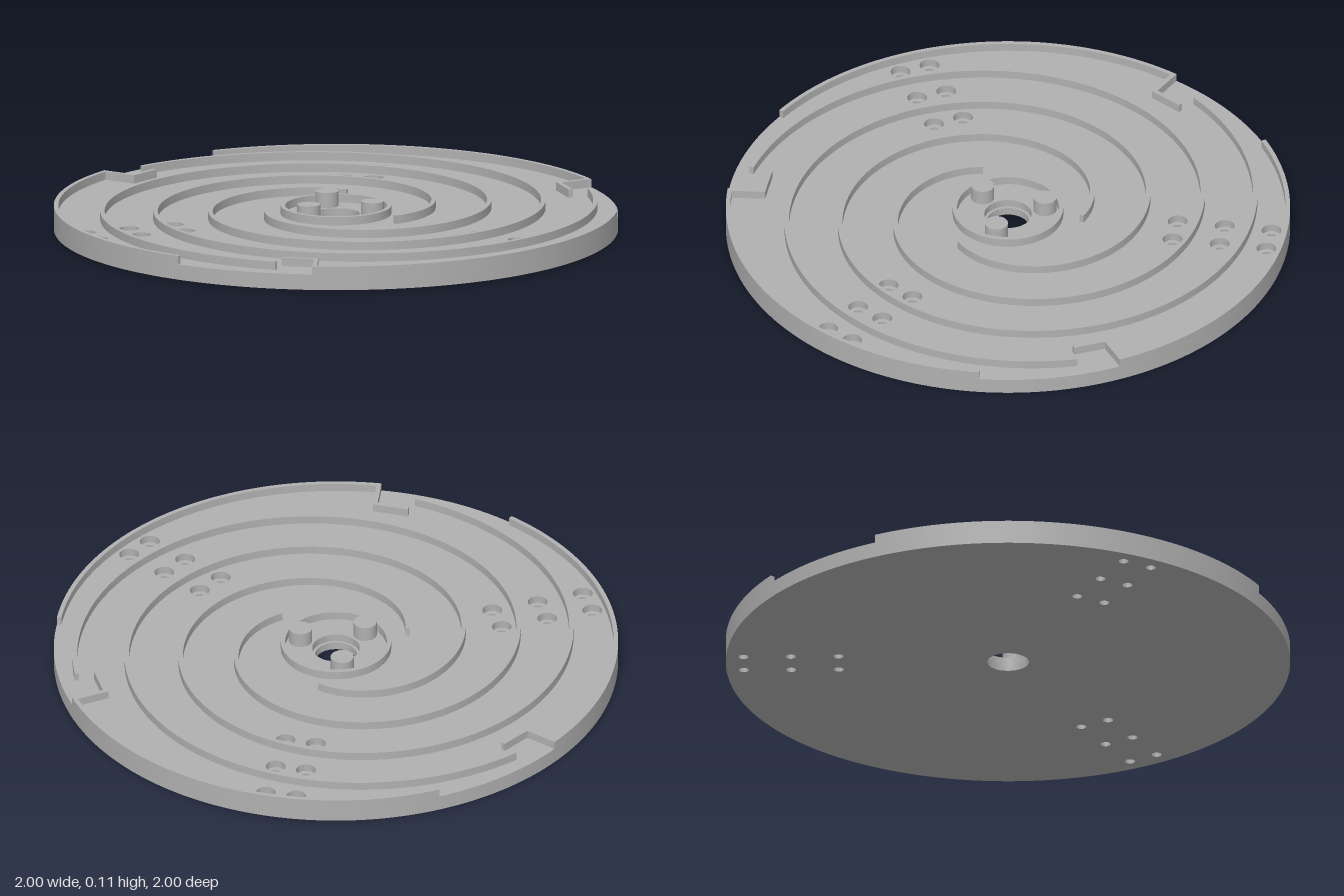
import * as THREE from 'three';
import { toCreasedNormals } from 'three/addons/utils/BufferGeometryUtils.js';

const FLOOR = 0.056, WALL_TOP = 0.086, STEP = 0.028, PEG_TOP = 0.11;
const WALL = 0.016;
const rad = THREE.MathUtils.degToRad;

// Plan coordinates: x is x, y is z; angles run from +x towards +z
const polar = (r, deg) => new THREE.Vector2(r * Math.cos(rad(deg)), r * Math.sin(rad(deg)));

function circle(c, r, n) {
  const pts = [];
  for (let i = 0; i < n; i++) pts.push(polar(r, (i * 360) / n).add(c));
  return pts;
}

// Extrude a plan outline between two heights
function slab(outline, y0, y1, holes = []) {
  const shape = new THREE.Shape(outline);
  shape.holes = holes.map((h) => new THREE.Path(h));
  const g = new THREE.ExtrudeGeometry(shape, { depth: y1 - y0, bevelEnabled: false });
  g.rotateX(Math.PI / 2).translate(0, y1, 0);
  return toCreasedNormals(g, rad(30));
}

// Outline of a wall of even thickness along a centre line, with mitred corners
function strip(line, t) {
  const left = [], right = [];
  line.forEach((p, i) => {
    const a = line[Math.max(i - 1, 0)], b = line[Math.min(i + 1, line.length - 1)];
    const d1 = p.clone().sub(i ? a : p).normalize();
    const d2 = b.clone().sub(i < line.length - 1 ? p : b).normalize();
    const dir = d1.clone().add(d2).normalize();
    const ref = i ? d1 : d2;
    const off = new THREE.Vector2(-dir.y, dir.x).multiplyScalar(t / 2 / dir.dot(ref));
    left.push(p.clone().add(off));
    right.push(p.clone().sub(off));
  });
  return left.concat(right.reverse());
}

export function createModel() {
  const group = new THREE.Group();
  const grey = new THREE.MeshStandardMaterial({ color: 0xb0b0b0 });
  grey.name = 'grey';
  const add = (name, geometry, parent = group) => {
    const mesh = new THREE.Mesh(geometry, grey);
    mesh.name = name;
    parent.add(mesh);
    return mesh;
  };

  // Pairs of screw holes in three radial rows
  const centre = new THREE.Vector2();
  const screws = [];
  for (let k = 0; k < 3; k++) {
    const angle = 225.5 + 120 * k;
    const side = polar(0.055, angle + 90);
    for (const r of [0.6, 0.769, 0.937]) {
      for (const s of [-1, 1]) screws.push(polar(r, angle).addScaledVector(side, s));
    }
  }
  const holes = (screwR, boreR) => [
    circle(centre, boreR, 64), ...screws.map((c) => circle(c, screwR, 28)),
  ];

  // Disc in two layers, the upper one with the wider counterbores
  const edge = circle(centre, 1, 180);
  add('lowerDisc', slab(edge, 0, STEP, holes(0.018, 0.074)));
  add('upperDisc', slab(edge, STEP, FLOOR, holes(0.035, 0.084)));

  // Ring around the hub
  add('hubRing', slab(circle(centre, 0.196, 96), FLOOR, WALL_TOP, [circle(centre, 0.18, 96)]));

  // Wall outlines for one third of the disc
  const spiral = [], rim = [];
  for (let i = 0; i <= 150; i++) {
    const d = (415.5 * i) / 150;
    spiral.push(polar(0.265 + 0.00175 * d - 3e-7 * d * d, 226.5 - d));
  }
  for (let i = 0; i <= 45; i++) rim.push(polar(1, 192 + (90.8 * i) / 45));
  for (let i = 45; i >= 0; i--) rim.push(polar(0.984, 192 + (90.8 * i) / 45));
  const hook = [polar(0.99, 282.3), new THREE.Vector2(0.191, -0.852), new THREE.Vector2(0.307, -0.815)];

  const geometries = {
    spiralWall: slab(strip(spiral, WALL), FLOOR, WALL_TOP),
    rimWall: slab(rim, FLOOR, WALL_TOP),
    hookWall: slab(strip(hook, WALL), FLOOR, WALL_TOP),
    peg: new THREE.CylinderGeometry(0.041, 0.041, PEG_TOP - FLOOR, 40),
  };
  const pegAt = polar(0.134, 84);
  geometries.peg.translate(pegAt.x, (PEG_TOP + FLOOR) / 2, pegAt.y);

  // Repeat the walls and pegs three times around the axis
  for (let k = 0; k < 3; k++) {
    const sector = new THREE.Group();
    sector.name = 'sector' + (k + 1);
    sector.rotation.y = rad(-120 * k);
    for (const [name, geometry] of Object.entries(geometries)) add(name, geometry, sector);
    group.add(sector);
  }
  return group;
}
